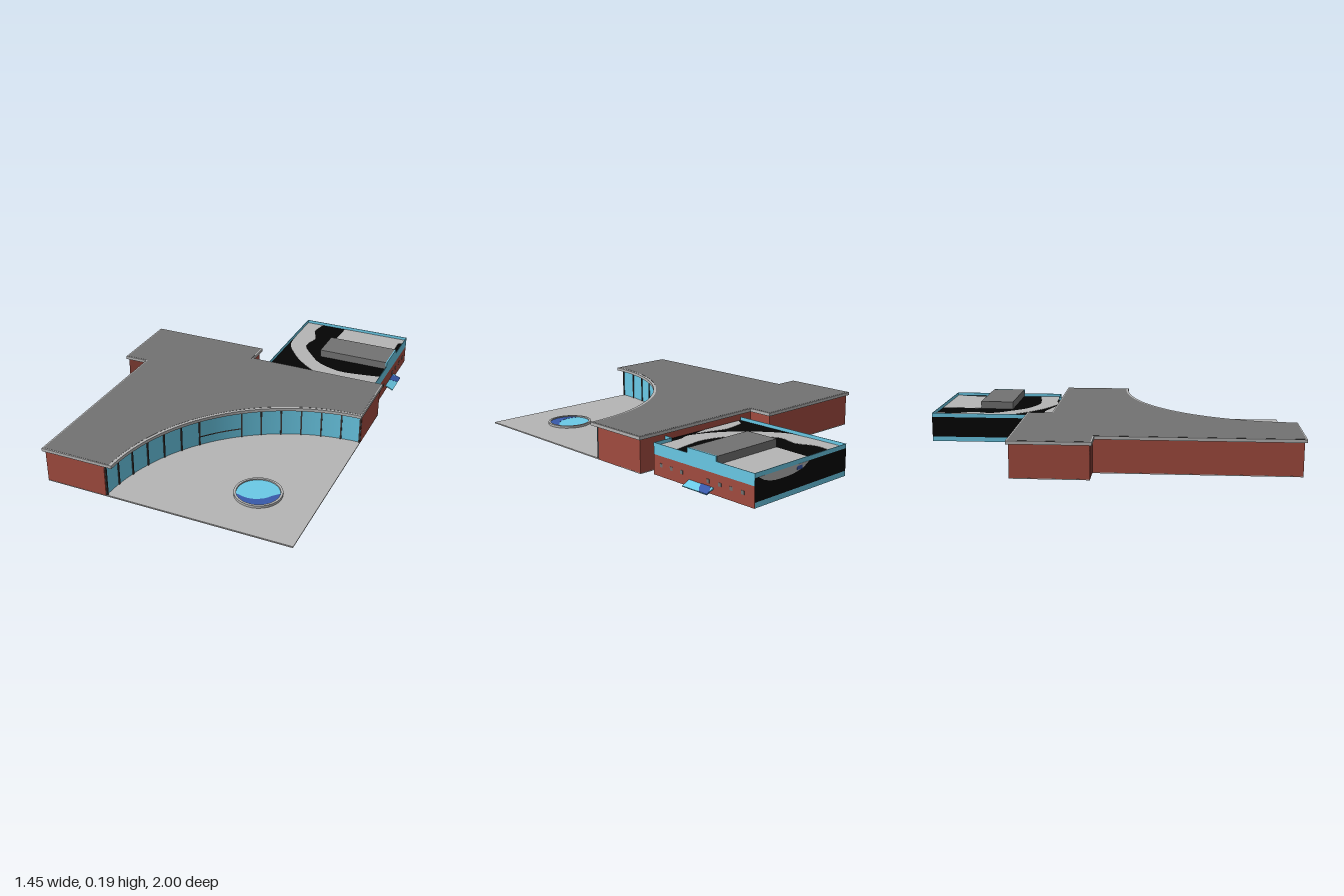
import * as THREE from 'three';

const mat = (name, color, side = THREE.FrontSide) => {
  const m = new THREE.MeshStandardMaterial({ color, side });
  m.name = name;
  return m;
};

export function createModel() {
  const brick = mat('brick red', 0xa34c40);
  const darkBrick = mat('dark brick red', 0x7c3a32);
  const glass = mat('glass blue', 0x6bcbe8, THREE.DoubleSide);
  const paleGrey = mat('pale grey', 0xb5b5b5);
  const roofGrey = mat('roof grey', 0x727272);
  const black = mat('black', 0x040404);
  const deepBlue = mat('deep blue', 0x3859ab);
  const frameGrey = mat('frame grey', 0x3e3836, THREE.DoubleSide);

  const model = new THREE.Group();
  const add = (name, geo, material, parent = model) => {
    const mesh = new THREE.Mesh(geo, material);
    mesh.name = name;
    parent.add(mesh);
    return mesh;
  };
  // Box given by its lower and upper limits on each axis
  const box = (name, [x0, x1], [y0, y1], [z0, z1], material, parent) => {
    const g = new THREE.BoxGeometry(x1 - x0, y1 - y0, z1 - z0);
    g.translate((x0 + x1) / 2, (y0 + y1) / 2, (z0 + z1) / 2);
    return add(name, g, material, parent);
  };
  // Flat slab from a plan outline of [x, z] points
  const slab = (name, pts, y0, y1, material, parent) => {
    const shape = new THREE.Shape(pts.map(([x, z]) => new THREE.Vector2(x, -z)));
    const g = new THREE.ExtrudeGeometry(shape, { depth: y1 - y0, bevelEnabled: false });
    g.rotateX(-Math.PI / 2);
    g.translate(0, y0, 0);
    return add(name, g, material, parent);
  };
  // Smooth line through a few points
  const smooth = (pts, n = 24) =>
    new THREE.SplineCurve(pts.map((p) => new THREE.Vector2(...p))).getPoints(n).map((p) => [p.x, p.y]);
  // Quarter arc bitten out of the front corner
  const arc = (cx, cz, r, n = 48) => Array.from({ length: n + 1 }, (_, i) => {
    const a = (i / n) * Math.PI / 2;
    return [cx - r * Math.cos(a), cz - r * Math.sin(a)];
  });
  // Main plan, shrunk by d on every side
  const plan = (d, front) => [
    [-0.725 + d, -0.445 + d], [-0.725 + d, -0.03 - d], [-0.595 + d, -0.03 - d],
    [-0.595 + d, 0.998 - d], ...front, [0.72 - d, -0.31 + d], [-0.05 - d, -0.31 + d],
    [-0.05 - d, -0.445 + d],
  ];

  // Ground plate and paved forecourt
  const cx = 0.71, cz = 0.986, R = 0.96;
  slab('floorPlate', plan(0.011, [[0.709, 0.987]]), 0, 0.004, paleGrey);
  slab('forecourt', [...arc(cx, cz, R), [cx, cz]], 0.004, 0.007, paleGrey);

  // Main building with a pale roof edge around the darker roof
  slab('brickWalls', plan(0.012, arc(cx, cz, R + 0.004)), 0.002, 0.173, brick);
  box('wingFrontWall', [-0.713, -0.584], [0.002, 0.173], [-0.043, -0.04], darkBrick);
  slab('roofFascia', plan(0, arc(0.72, 0.995, 0.927)), 0.173, 0.1895, paleGrey);
  slab('roofTop', plan(0.007, arc(0.713, 0.991, 0.935)), 0.188, 0.1903, roofGrey);

  // Curved glass front with upright frames and a wide entrance bay
  const front = new THREE.Group();
  front.name = 'curvedGlassFront';
  model.add(front);
  const pane = new THREE.CylinderGeometry(R, R, 0.168, 48, 1, true, Math.PI, Math.PI / 2);
  pane.translate(cx, 0.089, cz);
  add('glassWall', pane, glass, front);
  const deg = Math.PI / 180;
  for (let i = 0; i <= 6; i++) {
    for (const a of [i * 38 / 6, 90 - i * 38 / 6]) {
      const t = Math.min(Math.max(a, 0.3), 89.7) * deg;
      const post = add('upright', new THREE.BoxGeometry(0.005, 0.168, 0.008), frameGrey, front);
      post.position.set(cx - (R - 0.003) * Math.cos(t), 0.089, cz - (R - 0.003) * Math.sin(t));
      post.rotation.y = -t;
    }
  }
  const bar = new THREE.CylinderGeometry(R - 0.006, R - 0.006, 0.007, 8, 1, true,
    Math.PI + 38 * deg, 14 * deg);
  bar.translate(cx, 0.058, cz);
  add('entranceBar', bar, frameGrey, front);

  // Round pool
  const pool = new THREE.Group();
  pool.name = 'pool';
  pool.position.set(0.408, 0.006, 0.675);
  model.add(pool);
  const rim = [[0.108, 0], [0.12, 0], [0.12, 0.014], [0.108, 0.014], [0.108, 0]];
  const rimGeo = new THREE.LatheGeometry(rim.map((p) => new THREE.Vector2(...p)), 40).toNonIndexed();
  rimGeo.computeVertexNormals();
  add('poolRim', rimGeo, paleGrey, pool);
  const water = new THREE.CylinderGeometry(0.109, 0.109, 0.007, 40);
  water.translate(0, 0.0035, 0);
  add('water', water, glass, pool);
  const shade = smooth([[-0.095, 0.05], [-0.045, 0.062], [0, 0.058], [0.045, 0.033], [0.075, -0.005], [0.102, -0.035]]);
  for (let a = -17; a <= 150; a += 8) shade.push([0.108 * Math.cos(a * deg), 0.108 * Math.sin(a * deg)]);
  slab('deepWater', shade, 0.007, 0.008, deepBlue, pool);

  // Rear annex, thin walled and open underneath
  const annex = new THREE.Group();
  annex.name = 'annex';
  model.add(annex);
  const x0 = 0.028, x1 = 0.664, z0 = -0.999, z1 = -0.347, t = 0.003;
  box('brickSideWall', [x1 - t, x1], [0, 0.102], [z0, z1], brick, annex);
  box('sideGlazing', [x1 - t, x1], [0.102, 0.16], [z0, z1], glass, annex);
  box('brickFrontWall', [x0, x1 - t], [0, 0.134], [z1 - t, z1], brick, annex);
  box('frontGlazing', [0.55, x1], [0.134, 0.16], [z1 - t, z1], glass, annex);

  // Short link wall to the main building, in layers
  const layers = [[0, 0.035, brick], [0.035, 0.1, black], [0.1, 0.138, paleGrey], [0.138, 0.16, glass]];
  for (const [a, b, m] of layers) box('linkWall', [0.55 - t, 0.55], [a, b], [z1, -0.3], m, annex);

  // Dark back and side walls between glazed bands
  const bands = [['lowerBand', 0, 0.026, glass], ['darkWall', 0.026, 0.138, black], ['upperBand', 0.138, 0.16, glass]];
  for (const [name, a, b, m] of bands) {
    box(name + 'Back', [x0, x1 - t], [a, b], [z0, z0 + t], m, annex);
    box(name + 'Side', [x0, x0 + t], [a, b], [z0 + t, -0.312], m, annex);
  }

  // Pale patch and small blue mark on the back wall
  const patch = new THREE.Shape([[0.64, 0.138], [0.3, 0.138], ...smooth([[0.34, 0.115], [0.42, 0.1], [0.53, 0.1], [0.6, 0.115]], 12)]
    .map((p) => new THREE.Vector2(...p)));
  const patchGeo = new THREE.ExtrudeGeometry(patch, { depth: 0.004, bevelEnabled: false });
  patchGeo.translate(0, 0, z0 - 0.001);
  add('backWallPatch', patchGeo, paleGrey, annex);
  box('backWallMark', [0.35, 0.385], [0.112, 0.13], [z0 - 0.002, z0], deepBlue, annex);

  // Annex roof with sweeping pale areas
  slab('annexRoof', [[x0 + t, z0 + t], [x0 + t, -0.312], [0.55, -0.312], [0.55, z1 - t], [x1 - t, z1 - t], [x1 - t, z0 + t]],
    0.136, 0.142, black, annex);
  const sweep = [
    ...smooth([[0.13, -0.995], [0.115, -0.89], [0.155, -0.79], [0.135, -0.68], [0.21, -0.575], [0.29, -0.495],
      [0.42, -0.445], [0.55, -0.455], [0.66, -0.475]]),
    ...smooth([[0.66, -0.352], [0.5, -0.352], [0.42, -0.335], [0.29, -0.39], [0.185, -0.47], [0.105, -0.56],
      [0.045, -0.66], [0.032, -0.79]]),
    [0.032, -0.995],
  ];
  const corner = [[0.275, -0.995], [0.66, -0.995], [0.658, -0.95], [0.632, -0.93], [0.632, -0.8], [0.658, -0.76],
    [0.658, -0.585], [0.27, -0.585], [0.265, -0.75]];
  const edge = [[0.045, -0.313], ...smooth([[0.08, -0.365], [0.2, -0.385], [0.29, -0.36], [0.38, -0.335]], 12), [0.29, -0.313]];
  [sweep, corner, edge].forEach((p) => slab('paleRoofArea', p, 0.1345, 0.1435, paleGrey, annex));

  // Rooftop plant room with its glazed end
  box('plantRoom', [0.262, 0.657], [0.128, 0.184], [-0.768, -0.58], roofGrey, annex);
  box('plantRoomGlazing', [0.657, 0.664], [0.158, 0.185], [-0.765, -0.577], glass, annex);

  // Row of small windows
  for (const z of [-0.4, -0.47, -0.54, -0.715, -0.79, -0.86, -0.93]) {
    box('smallWindow', [x1, x1 + 0.002], [0.048, 0.066], [z - 0.009, z + 0.009], roofGrey, annex);
  }

  // Sloping awning over the side entrance
  const awning = new THREE.Group();
  awning.name = 'awning';
  awning.position.set(0.684, 0.021, -0.67);
  awning.rotation.z = -0.42;
  annex.add(awning);
  box('awningPanel', [-0.025, 0.025], [-0.003, 0.003], [-0.08, 0.08], glass, awning);
  slab('awningShade', [[-0.025, -0.06], [0.005, -0.08], [0.025, -0.08], [0.025, -0.03], [0, -0.01], [-0.025, 0.0]],
    -0.004, 0.004, deepBlue, awning);

  return model;
}
